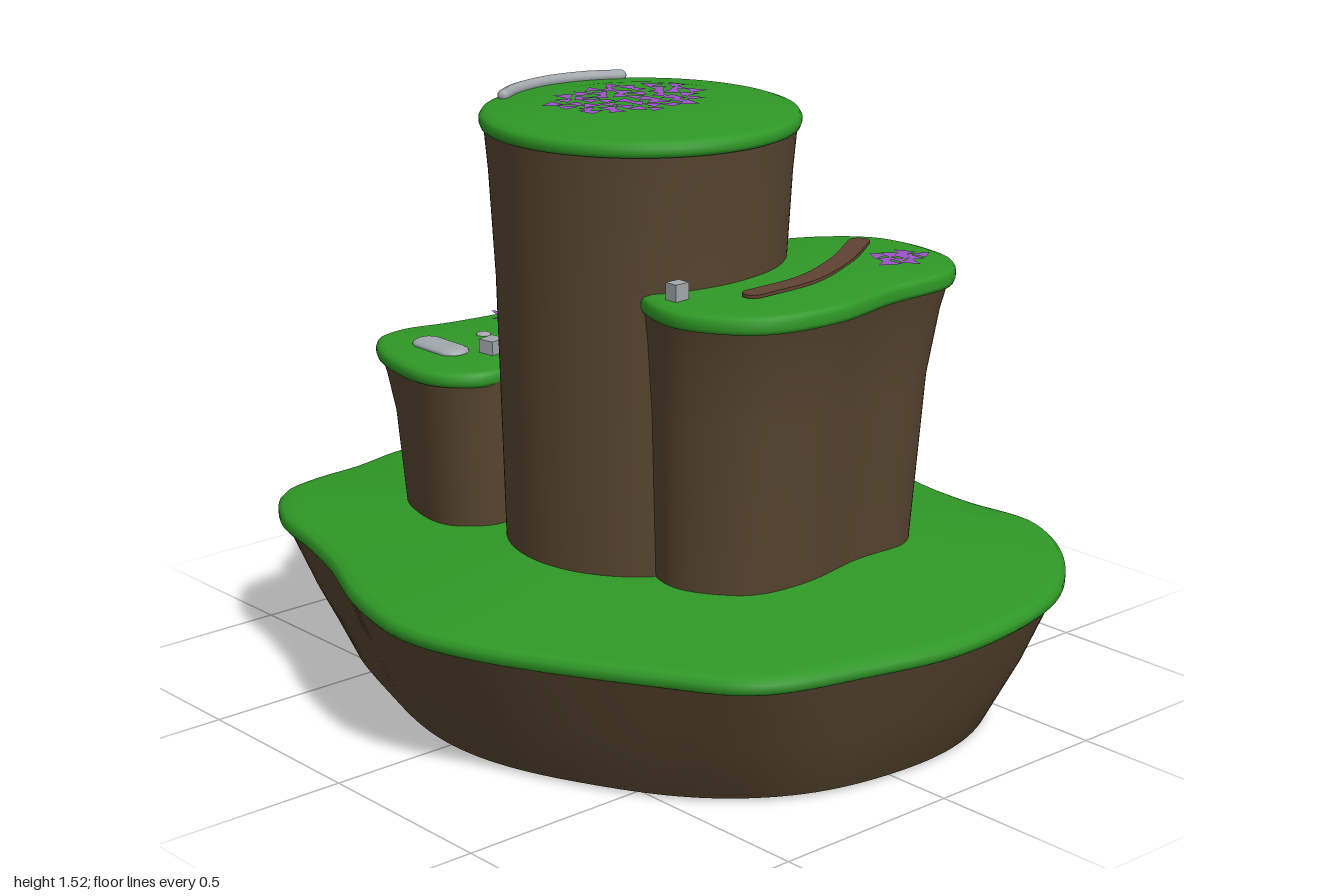
import * as THREE from 'three';

const mat = (name, color, side = THREE.FrontSide) => {
  const m = new THREE.MeshStandardMaterial({ color, side });
  m.name = name;
  return m;
};
const grass = mat('grass', 0x2f9826);
const earth = mat('earth', 0x57452f);
const stone = mat('stone', 0xa1a7ac);
const pathDirt = mat('path dirt', 0x5f4232);
const petal = mat('purple petals', 0x9d52c6, THREE.DoubleSide);

// Smooth closed outline through [x, z] points, always running the same way round
function outline(points, n = 120) {
  const curve = new THREE.CatmullRomCurve3(points.map(([x, z]) => new THREE.Vector3(x, 0, z)), true);
  const pts = curve.getSpacedPoints(n).slice(0, n).map((p) => new THREE.Vector2(p.x, p.z));
  return THREE.ShapeUtils.area(pts) < 0 ? pts.reverse() : pts;
}

// Averages neighbours so that a foot is rounder than its rim
function soften(pts, w) {
  const n = pts.length;
  return pts.map((_, i) => {
    const s = new THREE.Vector2();
    for (let k = -w; k <= w; k++) s.add(pts[(i + k + n) % n]);
    return s.divideScalar(2 * w + 1);
  });
}

// Skins stacked rings; each ring is { pts, y, sx, sz } scaled about a centre
function loft(name, material, [cx, cz], rings) {
  const n = rings[0].pts.length, pos = [], idx = [];
  rings.forEach(({ pts, y, sx, sz = sx }) => {
    pts.forEach((p) => pos.push(cx + (p.x - cx) * sx, y, cz + (p.y - cz) * sz));
  });
  for (let r = 0; r < rings.length - 1; r++) {
    for (let i = 0; i < n; i++) {
      const a = r * n + i, b = r * n + (i + 1) % n;
      idx.push(a, a + n, b, b, a + n, b + n);
    }
  }
  const g = new THREE.BufferGeometry();
  g.setAttribute('position', new THREE.Float32BufferAttribute(pos, 3));
  g.setIndex(idx);
  g.computeVertexNormals();
  return named(name, new THREE.Mesh(g, material));
}

function named(name, object, x = 0, y = 0, z = 0) {
  object.name = name;
  object.position.set(x, y, z);
  return object;
}

// Earth column narrowing to its foot, with a rounded grass cap
function plateau(name, points, { mid, pivot, foot, lip, rim, top }) {
  const pts = outline(points), g = named(name, new THREE.Group());
  const [fx, fz] = foot;
  const ring = (y, t) => ({ pts, y, sx: 0.975 + (fx - 0.975) * t, sz: 0.975 + (fz - 0.975) * t });
  const h = lip - 0.4;
  g.add(loft(name + 'Earth', earth, pivot,
    [ring(0.4, 1), ring(0.4 + h * 0.65, 0.6), ring(0.4 + h * 0.9, 0.25), ring(lip + 0.01, 0)]));
  const cap = [[0.955, lip + 0.004], [0.99, lip], [1, lip + 0.01], [1, rim - 0.01], [0.985, rim],
    [0.94, rim + 0.006], [0.6, top - 0.004], [0.3, top], [0, top]];
  g.add(loft(name + 'Grass', grass, mid, cap.map(([sx, y]) => ({ pts, y, sx }))));
  return g;
}

function seeded(seed) {
  return () => (seed = (seed * 16807) % 2147483647) / 2147483647;
}

// Flat triangular petals spread evenly over an ellipse
function petals(name, count, [x, y, z], rx, rz, seed) {
  const rnd = seeded(seed), pos = [];
  for (let i = 0; i < count; i++) {
    const a = i * 2.39996, r = Math.sqrt((i + 0.5) / count), turn = rnd() * 6.28;
    const px = x + Math.cos(a) * r * rx, pz = z + Math.sin(a) * r * rz;
    for (let k = 0; k < 3; k++) {
      const t = turn - k * 2.094, s = 0.022 + rnd() * 0.016;
      pos.push(px + Math.cos(t) * s, y, pz + Math.sin(t) * s);
    }
  }
  const g = new THREE.BufferGeometry();
  g.setAttribute('position', new THREE.Float32BufferAttribute(pos, 3));
  g.computeVertexNormals();
  return named(name, new THREE.Mesh(g, petal));
}

function block(name, x, y, z, w, h, d, turn = 0) {
  const m = named(name, new THREE.Mesh(new THREE.BoxGeometry(w, h, d), stone), x, y + h / 2, z);
  m.rotation.y = turn;
  return m;
}

export function createModel() {
  const model = named('tieredIsland', new THREE.Group());

  // Island base with softly rising grass
  const rim = outline([[-0.05, -1], [0.14, -0.965], [0.3, -0.86], [0.42, -0.72], [0.53, -0.62], [0.68, -0.56],
    [0.79, -0.44], [0.85, -0.24], [0.845, -0.03], [0.8, 0.18], [0.79, 0.34], [0.8, 0.55], [0.69, 0.74],
    [0.45, 0.925], [0.08, 0.995], [-0.2, 0.945], [-0.46, 0.855], [-0.6, 0.66], [-0.81, 0.26], [-0.855, 0.05],
    [-0.81, -0.18], [-0.71, -0.42], [-0.655, -0.6], [-0.61, -0.77], [-0.5, -0.92], [-0.38, -0.955], [-0.24, -0.965]], 160);
  const foot = soften(rim, 8);
  model.add(loft('islandEarth', earth, [0, 0], [
    { pts: foot, y: 0, sx: 0 }, { pts: foot, y: 0, sx: 0.8, sz: 0.84 }, { pts: foot, y: 0.008, sx: 0.82, sz: 0.86 },
    { pts: soften(rim, 4), y: 0.17, sx: 0.9, sz: 0.925 }, { pts: rim, y: 0.345, sx: 0.985 }]));
  model.add(loft('islandGrass', grass, [0, 0], [[0.97, 0.34], [0.99, 0.335], [1, 0.345], [1, 0.362], [0.988, 0.374],
    [0.96, 0.379], [0.58, 0.425], [0.4, 0.43], [0, 0.43]].map(([sx, y]) => ({ pts: rim, y, sx }))));

  // Round main tower
  const circle = Array.from({ length: 16 }, (_, i) => [
    -0.095 + 0.385 * Math.cos(i * Math.PI / 8), 0.045 + 0.385 * Math.sin(i * Math.PI / 8)]);
  model.add(plateau('mainTower', circle,
    { mid: [-0.095, 0.045], pivot: [-0.095, 0.045], foot: [0.865, 0.865], lip: 1.455, rim: 1.487, top: 1.513 }));

  // Front terrace
  model.add(plateau('frontTerrace', [[-0.35, 0.37], [-0.36, 0.47], [-0.31, 0.58], [-0.23, 0.65], [-0.05, 0.68],
    [0.16, 0.645], [0.37, 0.63], [0.465, 0.55], [0.5, 0.42], [0.485, 0.29], [0.4, 0.195], [0.27, 0.13],
    [0.1, 0.13], [-0.1, 0.15], [-0.27, 0.23]],
  { mid: [0.08, 0.4], pivot: [0.08, 0.15], foot: [0.86, 0.8], lip: 1.085, rim: 1.122, top: 1.138 }));

  // Left terrace
  model.add(plateau('leftTerrace', [[0.24, -0.18], [0.32, -0.215], [0.43, -0.225], [0.545, -0.195], [0.605, -0.1],
    [0.595, 0.03], [0.55, 0.2], [0.5, 0.31], [0.4, 0.34], [0.25, 0.3], [0.15, 0.1], [0.17, -0.1]],
  { mid: [0.38, 0.05], pivot: [0.25, 0.06], foot: [0.84, 0.9], lip: 0.833, rim: 0.864, top: 0.878 }));

  // Back terrace
  model.add(plateau('backTerrace', [[-0.475, -0.37], [-0.435, -0.565], [-0.365, -0.66], [-0.285, -0.675],
    [-0.18, -0.65], [-0.05, -0.63], [0.085, -0.615], [0.175, -0.555], [0.205, -0.45], [0.165, -0.345],
    [0.08, -0.27], [-0.1, -0.23], [-0.25, -0.22], [-0.38, -0.22], [-0.45, -0.28]],
  { mid: [-0.13, -0.43], pivot: [-0.13, -0.25], foot: [0.85, 0.83], lip: 0.793, rim: 0.824, top: 0.838 }));

  // Flower patches
  model.add(petals('mainFlowers', 48, [-0.12, 1.517, 0.03], 0.2, 0.15, 11));
  model.add(petals('frontFlowers', 10, [0.325, 1.143, 0.505], 0.065, 0.06, 5));
  model.add(petals('leftFlowersBack', 6, [0.345, 0.883, -0.12], 0.04, 0.04, 7));
  model.add(petals('leftFlowersFront', 4, [0.3, 0.883, -0.05], 0.02, 0.03, 9));
  model.add(petals('backFlowersOuter', 22, [0.035, 0.843, -0.54], 0.105, 0.06, 21));
  model.add(petals('backFlowersInner', 12, [0.01, 0.843, -0.355], 0.11, 0.028, 33));

  // Curved dirt path: thin ribbon with round ends
  const line = new THREE.CatmullRomCurve3([[-0.16, 0.51], [0.02, 0.5], [0.2, 0.43], [0.365, 0.33]]
    .map(([x, z]) => new THREE.Vector3(x, 0, z)));
  const edge = (side) => Array.from({ length: 21 }, (_, i) => {
    const p = line.getPoint(i / 20), t = line.getTangent(i / 20);
    return new THREE.Vector2(p.x - t.z * side * 0.026, -p.z - t.x * side * 0.026);
  });
  const ribbon = new THREE.ExtrudeGeometry(new THREE.Shape([...edge(1), ...edge(-1).reverse()]),
    { depth: 0.008, bevelEnabled: false });
  ribbon.rotateX(-Math.PI / 2);
  model.add(named('path', new THREE.Mesh(ribbon, pathDirt), 0, 1.136, 0));
  for (const t of [0, 1]) {
    const p = line.getPoint(t);
    model.add(named('pathEnd', new THREE.Mesh(new THREE.CylinderGeometry(0.026, 0.026, 0.008, 20), pathDirt), p.x, 1.14, p.z));
  }

  // Curved stone wall on the main tower
  const arc = new THREE.CatmullRomCurve3([[-0.275, -0.25], [-0.2, -0.29], [-0.09, -0.31], [0.02, -0.29], [0.095, -0.247]]
    .map(([x, z]) => new THREE.Vector3(x, 1.502, z)));
  model.add(named('curvedWall', new THREE.Mesh(new THREE.TubeGeometry(arc, 32, 0.015, 10), stone)));
  for (const t of [0, 1]) {
    const p = arc.getPoint(t);
    model.add(named('wallEnd', new THREE.Mesh(new THREE.SphereGeometry(0.015, 10, 8), stone), p.x, p.y, p.z));
  }

  // Ruined stone blocks
  model.add(block('tallBlock', 0.35, 0.87, 0.09, 0.11, 0.195, 0.11, -0.25));
  model.add(block('wideBlock', 0.44, 0.87, 0.11, 0.1, 0.09, 0.16, -0.25));
  model.add(block('lowBlock', 0.405, 0.87, -0.01, 0.09, 0.09, 0.1, -0.25));
  model.add(block('backBlock', -0.255, 0.83, -0.335, 0.05, 0.04, 0.045, 0.2));
  model.add(block('frontBlock', -0.295, 1.12, 0.4, 0.04, 0.05, 0.035));

  // Flat boulder and pebbles
  const boulder = named('flatBoulder', new THREE.Mesh(new THREE.CapsuleGeometry(0.042, 0.095, 8, 16), stone), -0.325, 0.835, -0.455);
  boulder.rotation.x = Math.PI / 2;
  boulder.scale.z = 0.35;
  model.add(boulder);
  const pebbles = [[-0.18, 0.838, -0.465, 0.019], [-0.085, 0.838, -0.49, 0.019], [-0.02, 0.838, -0.43, 0.019],
    [0.05, 0.838, -0.46, 0.019], [0.11, 0.836, -0.41, 0.019],
    [0.46, 0.878, -0.02, 0.007], [0.48, 0.878, -0.03, 0.007], [0.475, 0.878, -0.01, 0.007]];
  pebbles.forEach(([x, y, z, r]) => {
    const m = named('pebble', new THREE.Mesh(new THREE.SphereGeometry(r, 12, 8), stone), x, y, z);
    m.scale.y = 0.4;
    model.add(m);
  });
  return model;
}
